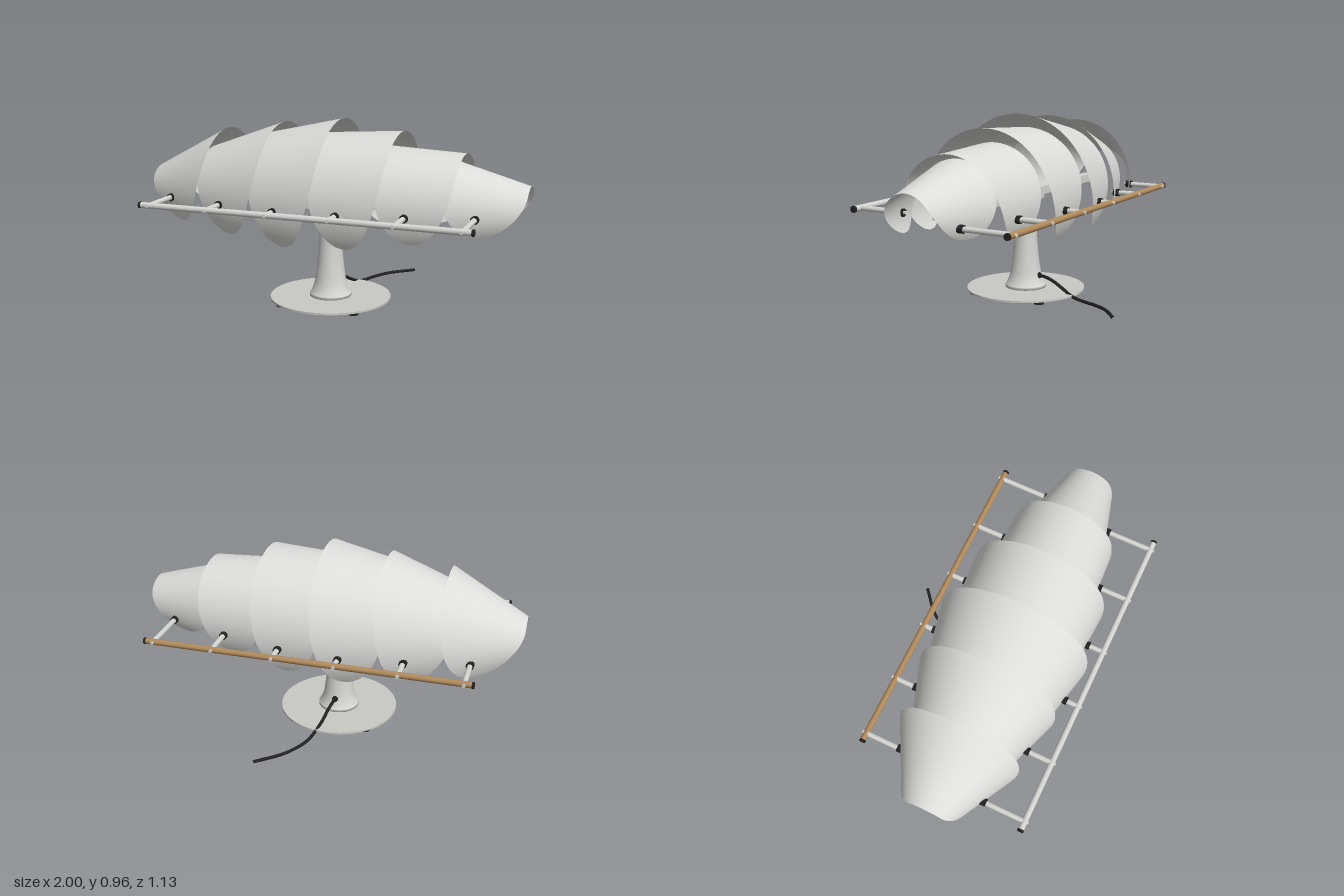
import * as THREE from 'three';

const mat = (name, color, side = THREE.FrontSide) => {
  const m = new THREE.MeshStandardMaterial({ color, side });
  m.name = name;
  return m;
};
const AXIS_Y = 0.54, AXIS_Z = 0.095, POST_X = -0.025;

// Cone segment around the x axis whose width narrows to a rounded lobe at each side
function shellGeometry(cx, r0, r1) {
  const half = 0.2, maxDeg = 119, flatDeg = 40, nA = 96, nX = 8;
  const pos = [], idx = [];
  for (let i = 0; i <= nA; i++) {
    const deg = maxDeg * Math.sin((i / nA - 0.5) * Math.PI);
    const u = Math.max(0, (Math.abs(deg) - flatDeg) / (maxDeg - flatDeg));
    const h = half * Math.sqrt(Math.max(0.0004, 1 - u * u));
    const a = THREE.MathUtils.degToRad(deg);
    for (let j = 0; j <= nX; j++) {
      const dx = h * (2 * j / nX - 1);
      const r = THREE.MathUtils.lerp(r0, r1, (dx + half) / (2 * half));
      pos.push(cx + dx, AXIS_Y + r * Math.cos(a), AXIS_Z + r * Math.sin(a));
      if (i < nA && j < nX) {
        const p = i * (nX + 1) + j, q = p + nX + 1;
        idx.push(p, q, p + 1, p + 1, q, q + 1);
      }
    }
  }
  const g = new THREE.BufferGeometry();
  g.setAttribute('position', new THREE.Float32BufferAttribute(pos, 3));
  g.setIndex(idx);
  g.computeVertexNormals();
  return g;
}

export function createModel() {
  const model = new THREE.Group();
  model.name = 'shellLamp';
  const shellMat = mat('shell white', 0xdcdcda, THREE.DoubleSide);
  const metal = mat('pale metal', 0xd4d4d1);
  const baseMat = mat('base grey', 0xc9c9c5);
  const wood = mat('wood', 0xb08a5c);
  const black = mat('black rubber', 0x222222);

  const add = (name, geometry, material, x = 0, y = 0, z = 0, parent = model) => {
    const m = new THREE.Mesh(geometry, material);
    m.name = name;
    m.position.set(x, y, z);
    parent.add(m);
    return m;
  };
  const disc = (name, r, y0, y1, x, z, material, parent = model) =>
    add(name, new THREE.CylinderGeometry(r, r, y1 - y0, 64), material, x, (y0 + y1) / 2, z, parent);
  // Rods lying along x or z
  const rodX = (name, r, x0, x1, y, z, material, parent = model) => {
    const m = add(name, new THREE.CylinderGeometry(r, r, x1 - x0, 24), material, (x0 + x1) / 2, y, z, parent);
    m.rotation.z = Math.PI / 2;
  };
  const rodZ = (name, r, za, zb, x, y, material, parent = model) => {
    const m = add(name, new THREE.CylinderGeometry(r, r, Math.abs(zb - za), 20), material, x, y, (za + zb) / 2, parent);
    m.rotation.x = Math.PI / 2;
  };

  // Overlapping shade shells: centre x, radius at the -x end, radius at the +x end
  const shells = [
    [-0.8, 0.13, 0.345], [-0.48, 0.246, 0.39], [-0.16, 0.332, 0.42],
    [0.16, 0.345, 0.37], [0.48, 0.294, 0.275], [0.8, 0.246, 0.135],
  ];
  const shade = new THREE.Group();
  shade.name = 'shade';
  model.add(shade);
  shells.forEach(s => add('shell', shellGeometry(...s), shellMat, 0, 0, 0, shade));

  // Side bars with standoffs that hold each shell
  const bars = [
    { name: 'frontBar', side: 1, x0: -0.88, x1: 0.83, y: 0.538, z: 0.545, first: -0.825, material: metal },
    { name: 'backBar', side: -1, x0: -0.81, x1: 0.89, y: 0.508, z: -0.36, first: -0.76, material: wood },
  ];
  for (const b of bars) {
    const g = new THREE.Group();
    g.name = b.name + 'Assembly';
    model.add(g);
    rodX(b.name, 0.0155, b.x0 + 0.01, b.x1 - 0.01, b.y, b.z, b.material, g);
    rodX('endCap', 0.0165, b.x0, b.x0 + 0.012, b.y, b.z, black, g);
    rodX('endCap', 0.0165, b.x1 - 0.012, b.x1, b.y, b.z, black, g);
    shells.forEach(([cx, r0, r1], i) => {
      const x = b.first + i * 0.32;
      const r = r0 + (r1 - r0) * (x - cx + 0.2) / 0.4;
      const zs = AXIS_Z + b.side * r;
      rodZ('standoff', 0.0135, zs, b.z, x, b.y, metal, g);
      rodZ('standoffPin', 0.009, b.z, b.z + b.side * 0.021, x, b.y, metal, g);
      rodZ('grommet', 0.02, zs - b.side * 0.012, zs + b.side * 0.02, x, b.y, black, g);
      rodZ('innerScrew', 0.008, zs, zs - b.side * 0.025, x, b.y, metal, g);
    });
  }

  // Inner rail, cross arms and bracket on the post
  add('rail', new THREE.BoxGeometry(1.53, 0.04, 0.055), metal, 0, 0.535, AXIS_Z);
  add('lightStrip', new THREE.BoxGeometry(1.5, 0.008, 0.04), baseMat, 0, 0.512, AXIS_Z);
  rodZ('crossArm', 0.008, AXIS_Z, 0.45, 0.135, 0.536, metal);
  rodZ('crossArm', 0.008, AXIS_Z, 0.46, -0.185, 0.536, metal);
  const plate = new THREE.Shape();
  plate.moveTo(-0.055, 0.43);
  plate.lineTo(0.055, 0.43);
  plate.lineTo(0.07, 0.475);
  plate.lineTo(0.16, 0.495);
  plate.lineTo(0.16, 0.517);
  plate.lineTo(-0.16, 0.517);
  plate.lineTo(-0.16, 0.495);
  plate.lineTo(-0.07, 0.475);
  add('bracket', new THREE.ExtrudeGeometry(plate, { depth: 0.05, bevelEnabled: false }),
    metal, POST_X, 0, AXIS_Z - 0.025);

  // Flared post
  const curve = new THREE.SplineCurve([
    [0.109, 0.042], [0.098, 0.06], [0.084, 0.1], [0.073, 0.17],
    [0.065, 0.25], [0.06, 0.34], [0.062, 0.41], [0.065, 0.445],
  ].map(p => new THREE.Vector2(...p)));
  const profile = [new THREE.Vector2(0, 0.028), new THREE.Vector2(0.109, 0.028),
    ...curve.getPoints(28), new THREE.Vector2(0, 0.445)];
  add('post', new THREE.LatheGeometry(profile, 64), metal, POST_X, 0, AXIS_Z);

  // Base plate, underside discs and feet
  disc('basePlate', 0.315, 0.019, 0.029, POST_X, AXIS_Z, baseMat);
  disc('undersidePlate', 0.255, 0.015, 0.02, POST_X, AXIS_Z, baseMat);
  disc('undersideHub', 0.11, 0.013, 0.016, POST_X, AXIS_Z, baseMat);
  for (const sx of [-1, 1]) for (const sz of [-1, 1])
    disc('foot', 0.025, 0.003, 0.02, POST_X + sx * 0.197, AXIS_Z + sz * 0.197, black);

  // Power cable leaving the back of the post
  rodZ('cableGrommet', 0.016, 0.03, 0.005, POST_X, 0.097, black);
  const path = new THREE.CatmullRomCurve3([
    [POST_X, 0.097, 0.03], [-0.022, 0.095, -0.02], [-0.012, 0.08, -0.08], [0.0, 0.05, -0.145],
    [0.02, 0.02, -0.215], [0.038, 0.009, -0.29], [0.065, 0.009, -0.36],
    [0.125, 0.011, -0.455], [0.245, 0.012, -0.562],
  ].map(p => new THREE.Vector3(...p)));
  add('cable', new THREE.TubeGeometry(path, 80, 0.0085, 12), black);

  return model;
}
